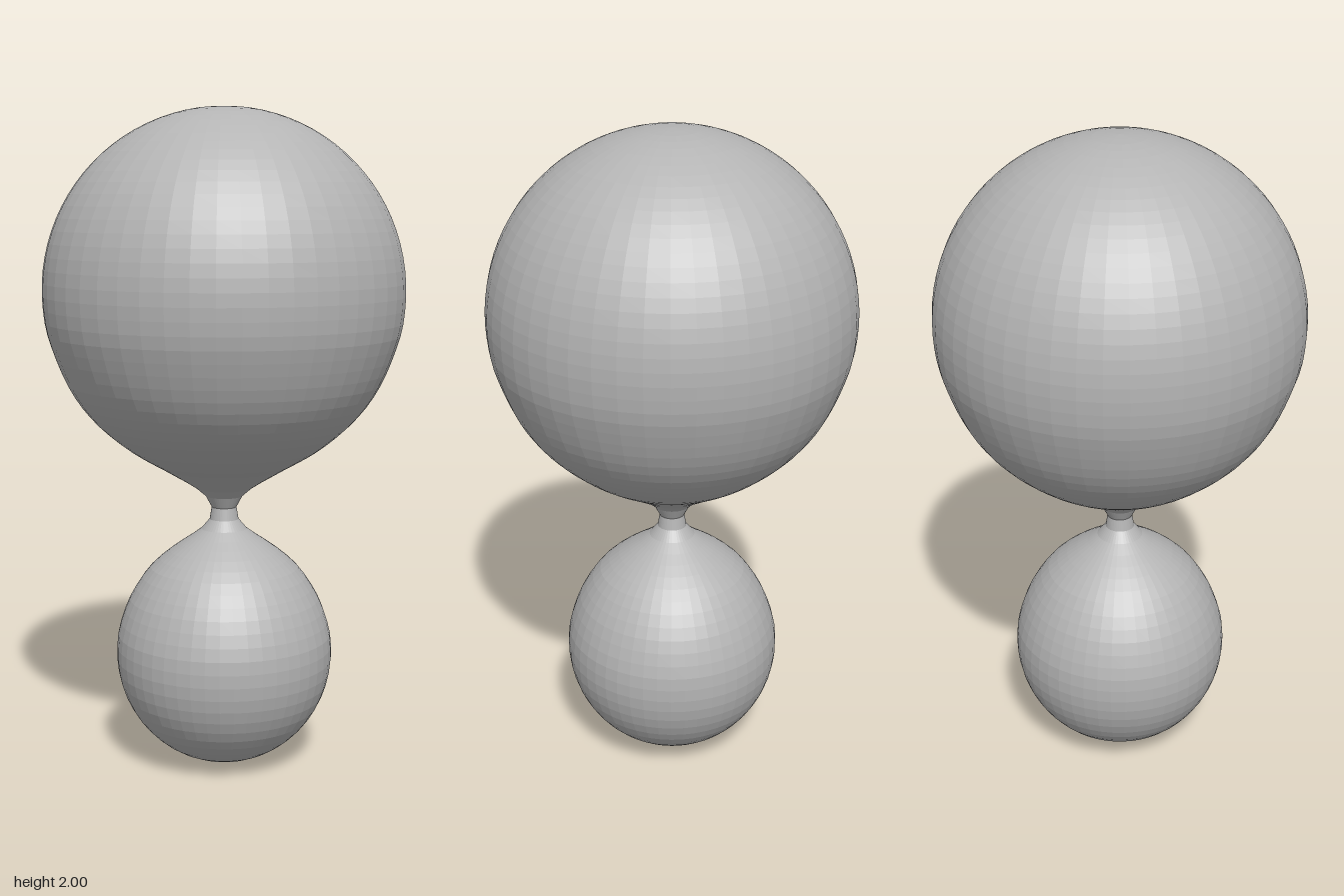
import * as THREE from 'three';

const SIDES = 48;

// Points on an elliptical arc, angles in degrees measured up from the equator
function arc(cy, rx, ry, from, to, steps) {
  return Array.from({ length: steps + 1 }, (_, i) => {
    const a = THREE.MathUtils.degToRad(from + ((to - from) * i) / steps);
    return new THREE.Vector2(Math.max(0, rx * Math.cos(a)), cy + ry * Math.sin(a));
  });
}

export function createModel() {
  const group = new THREE.Group();
  group.name = 'twinLobes';
  const grey = new THREE.MeshStandardMaterial({ color: 0xb4b4b4, flatShading: true });
  grey.name = 'grey';

  // Teardrop outline from the bottom pole, through the pinched waist, to the top pole
  const waist = [
    [0.288, 0.52], [0.232, 0.605], [0.165, 0.665], [0.105, 0.706], [0.06, 0.74],
    [0.04, 0.77], [0.037, 0.79], [0.046, 0.82], [0.085, 0.858], [0.17, 0.91],
    [0.295, 0.985], [0.4, 1.077], [0.472, 1.18],
  ].map(([r, y]) => new THREE.Vector2(r, y));
  const outline = new THREE.SplineCurve([
    ...arc(0.345, 0.332, 0.345, -90, 15, 12),
    ...waist,
    ...arc(1.455, 0.543, 0.545, -15, 90, 12),
  ]);
  outline.arcLengthDivisions = 800;
  const points = outline.getSpacedPoints(72);
  points[0].set(0, 0);
  points[72].set(0, 2);

  // Slice the outline into lobes and neck that share their border rings
  const neckStart = points.findIndex((p) => p.y > 0.71);
  const neckEnd = points.findIndex((p) => p.y > 0.87);
  const parts = {
    lowerLobe: points.slice(0, neckStart + 1),
    neck: points.slice(neckStart, neckEnd + 1),
    upperLobe: points.slice(neckEnd),
  };
  for (const [name, profile] of Object.entries(parts)) {
    const mesh = new THREE.Mesh(new THREE.LatheGeometry(profile, SIDES), grey);
    mesh.name = name;
    group.add(mesh);
  }
  return group;
}
